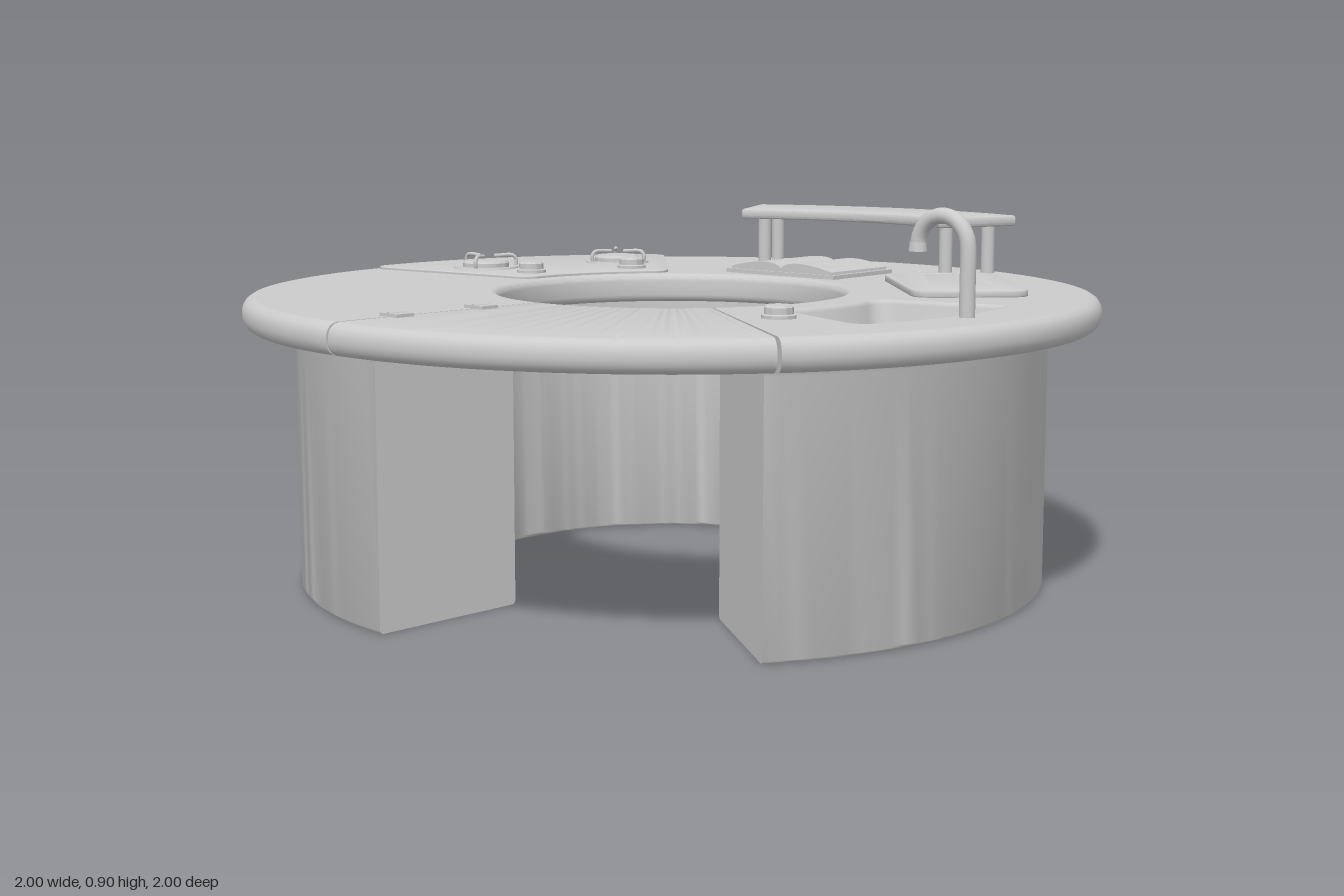
import * as THREE from 'three';
import { toCreasedNormals } from 'three/addons/utils/BufferGeometryUtils.js';

const D = Math.PI / 180;
const TOP = 0.675; // worktop height
const mat = new THREE.MeshStandardMaterial({ color: 0xcccccc });
const thin = new THREE.MeshStandardMaterial({ color: 0xcccccc, side: THREE.DoubleSide });
const polar = (r, t, y = 0) => new THREE.Vector3(r * Math.cos(t * D), y, -r * Math.sin(t * D));
const vec2 = (list) => list.map(([x, y]) => new THREE.Vector2(x, y));

function add(parent, name, geometry, material = mat) {
  const mesh = new THREE.Mesh(geometry, material);
  mesh.name = name;
  parent.add(mesh);
  return mesh;
}

// Ring sector in plan with rounded corners (angles in degrees)
function sector(r0, r1, t0, t1, c) {
  const s = new THREE.Shape();
  const a = t0 * D, b = t1 * D, o = c / r1, i = c / r0;
  const to = (r, t) => [r * Math.cos(t), r * Math.sin(t)];
  s.moveTo(...to(r1, a + o));
  s.absarc(0, 0, r1, a + o, b - o, false);
  s.quadraticCurveTo(...to(r1, b), ...to(r1 - c, b));
  s.lineTo(...to(r0 + c, b));
  s.quadraticCurveTo(...to(r0, b), ...to(r0, b - i));
  s.absarc(0, 0, r0, b - i, a + i, true);
  s.quadraticCurveTo(...to(r0, a), ...to(r0 + c, a));
  s.lineTo(...to(r1 - c, a));
  s.quadraticCurveTo(...to(r1, a), ...to(r1, a + o));
  return s;
}

// Flat plan shape raised into a slab with softened edges
function slab(shape, y, height, bevel) {
  const g = new THREE.ExtrudeGeometry(shape, {
    depth: height - 2 * bevel, bevelThickness: bevel, bevelSize: bevel,
    bevelOffset: -bevel, bevelSegments: 3, curveSegments: 40,
  });
  return toCreasedNormals(g.rotateX(-Math.PI / 2).translate(0, y + bevel, 0), 0.6);
}

// Profile swept round the y axis between two angles
function sweep(points, t0, t1) {
  const g = new THREE.LatheGeometry(vec2(points), 128, (t0 + 90) * D, (t1 - t0) * D);
  return toCreasedNormals(g, 0.6);
}

// Flat closing face of a swept profile
const endFace = (points, t) => new THREE.ShapeGeometry(new THREE.Shape(vec2(points))).rotateY(t * D);

// Quarter-round corner points
function corner(cx, cy, r, from) {
  return [0, 22.5, 45, 67.5, 90].map((d) => [cx + r * Math.cos((from + d) * D), cy + r * Math.sin((from + d) * D)]);
}

function flatTop(shape, y) {
  return new THREE.ShapeGeometry(shape, 64).rotateX(-Math.PI / 2).translate(0, y, 0);
}

const innerRim = [...corner(0.428, TOP - 0.018, 0.018, 90), ...corner(0.428, 0.622, 0.018, 180)];
const outerRim = [...corner(0.97, 0.634, 0.03, 270), ...corner(0.97, TOP - 0.03, 0.03, 0)];
const SINK = (inset) => sector(0.51 + inset, 0.835 - inset, -108.5 + inset * 70, -71.5 - inset * 70, 0.05);

function addBase(group) {
  const profile = [[0.5, 0.605], ...corner(0.51, 0.01, 0.01, 180), ...corner(0.87, 0.01, 0.01, 270),
    [0.88, 0.585], [0.885, 0.597], [0.9, 0.605]];
  add(group, 'base', sweep(profile, -123.4, 180), thin);
  for (const t of [-123.4, 180]) add(group, 'baseEnd', endFace(profile, t), thin);
}

function addWorktop(group) {
  const t0 = -123.15, t1 = 179.8;
  const top = sector(0.428, 0.97, t0, t1, 0);
  top.holes.push(new THREE.Path(SINK(0).getPoints(24)));
  add(group, 'worktop', flatTop(top, TOP));
  add(group, 'worktopInnerRim', sweep([...innerRim, [0.51, 0.604]], t0, t1));
  add(group, 'worktopOuterRim', sweep([[0.87, 0.604], ...outerRim], t0, t1));
  const flap = [...innerRim, ...outerRim];
  for (const t of [t0, t1]) add(group, 'worktopEnd', endFace(flap, t), thin);

  // Lifting flap over the entrance
  add(group, 'flap', sweep([...flap, flap[0]], 180.2, 236.35));
  for (const t of [180.2, 236.35]) add(group, 'flapEnd', endFace(flap, t), thin);
  for (const x of [-0.82, -0.59]) {
    add(group, 'hinge', new THREE.BoxGeometry(0.045, 0.01, 0.06).translate(x, TOP + 0.002, 0));
    add(group, 'hingePin', new THREE.CylinderGeometry(0.006, 0.006, 0.045, 12).rotateZ(Math.PI / 2).translate(x, TOP + 0.005, 0));
  }
}

function addSink(group) {
  // Basin lofted from the rim down to the floor
  const steps = [[0, TOP], [0.004, TOP - 0.002], [0.008, TOP - 0.01], [0.016, 0.585], [0.022, 0.573], [0.036, 0.567]];
  const rings = steps.map(([inset, y]) => SINK(inset).getPoints(24).map((p) => [p.x, y, -p.y]));
  const n = rings[0].length, index = [];
  for (let k = 0; k < rings.length - 1; k++) {
    for (let i = 0; i < n - 1; i++) {
      const a = k * n + i, b = a + 1, c = a + n, d = c + 1;
      index.push(a, b, c, b, d, c);
    }
  }
  const g = new THREE.BufferGeometry();
  g.setAttribute('position', new THREE.Float32BufferAttribute(rings.flat(2), 3));
  g.setIndex(index);
  add(group, 'sinkWall', toCreasedNormals(g, 0.8), thin);
  add(group, 'sinkFloor', flatTop(SINK(0.036), 0.567));
  add(group, 'drain', new THREE.CylinderGeometry(0.035, 0.037, 0.006, 32).translate(0, 0.569, 0.667));

  // Swan-neck tap
  const path = [new THREE.Vector3(0, 0.66, 0.865), new THREE.Vector3(0, 0.74, 0.865)];
  for (let d = 0; d <= 180; d += 20) {
    path.push(new THREE.Vector3(0, 0.818 + 0.066 * Math.sin(d * D), 0.799 + 0.066 * Math.cos(d * D)));
  }
  add(group, 'tap', new THREE.TubeGeometry(new THREE.CatmullRomCurve3(path), 48, 0.017, 16));
  add(group, 'tapNozzle', new THREE.CylinderGeometry(0.018, 0.02, 0.02, 16).translate(0, 0.816, 0.733));
}

function addKnob(group, name, x, y, z) {
  const profile = [[0.037, 0], [0.037, 0.008], [0.031, 0.01], [0.031, 0.024], [0.026, 0.029], [0, 0.03]];
  add(group, name, toCreasedNormals(new THREE.LatheGeometry(vec2(profile), 32), 0.6)).position.set(x, y, z);
}

function addBurner(group, x, z, turn) {
  const burner = new THREE.Group();
  burner.name = 'burner';
  burner.position.set(x, 0.682, z);
  const profile = [[0.085, 0], [0.083, 0.005], [0.068, 0.005], [0.06, 0.003], [0.06, 0.014], [0.054, 0.02], [0, 0.021]];
  add(burner, 'burnerCap', toCreasedNormals(new THREE.LatheGeometry(vec2(profile), 40), 0.6));
  for (let k = 0; k < 3; k++) {
    const path = [[0.077, 0], [0.08, 0.02], [0.072, 0.031], [0.02, 0.031]].map(([r, y]) => polar(r, turn + k * 120, y));
    add(burner, 'panSupport', new THREE.TubeGeometry(new THREE.CatmullRomCurve3(path), 16, 0.005, 8));
  }
  group.add(burner);
}

function addHob(group) {
  add(group, 'hobPlate', slab(sector(0.44, 0.97, 46, 99, 0.05), TOP - 0.003, 0.01, 0.003));
  addBurner(group, 0.027, -0.71, 90);
  addBurner(group, 0.39, -0.594, 50);
  addKnob(group, 'hobKnob', 0.02, 0.681, -0.524);
  addKnob(group, 'hobKnob', 0.294, 0.681, -0.44);
}

function addShelf(group) {
  add(group, 'shelf', slab(sector(0.75, 0.98, -19.5, 30.2, 0.006), 0.797, 0.027, 0.008));
  for (const t of [-16.5, 26.2]) {
    for (const r of [0.795, 0.928]) {
      const leg = add(group, 'shelfLeg', new THREE.CylinderGeometry(0.017, 0.017, 0.14, 20));
      leg.position.copy(polar(r, t, 0.735));
    }
  }
}

function addBook(group) {
  const book = new THREE.Group();
  book.name = 'openBook';
  book.position.set(0.57, TOP, -0.067);
  book.rotation.y = 0.065;
  add(book, 'bookCover', new THREE.BoxGeometry(0.25, 0.01, 0.345).translate(0, 0.005, 0));
  // Pages bulge either side of the fold
  const page = new THREE.Shape();
  page.moveTo(0, 0.008);
  page.lineTo(0.162, 0.008);
  page.lineTo(0.16, 0.017);
  page.bezierCurveTo(0.11, 0.03, 0.02, 0.045, 0, 0.018);
  const g = new THREE.ExtrudeGeometry(page, { depth: 0.235, bevelEnabled: false, curveSegments: 16 });
  g.translate(0, 0, -0.1175).rotateY(Math.PI / 2);
  for (const turn of [0, Math.PI]) add(book, 'pages', toCreasedNormals(g, 0.6)).rotation.y = turn;
  group.add(book);
}

function addBoard(group) {
  const w = 0.235, h = 0.136, c = 0.055;
  const s = new THREE.Shape();
  s.moveTo(-w + c, -h);
  s.lineTo(w - c, -h).quadraticCurveTo(w, -h, w, -h + c);
  s.lineTo(w, h - c).quadraticCurveTo(w, h, w - c, h);
  s.lineTo(-w + c, h).quadraticCurveTo(-w, h, -w, h - c);
  s.lineTo(-w, -h + c).quadraticCurveTo(-w, -h, -w + c, -h);
  // Grip slot near one end
  s.holes.push(new THREE.Path(vec2([[0.175, -0.036], [0.175, 0.036], [0.215, 0.036], [0.215, -0.036]])));
  const board = add(group, 'choppingBoard', slab(s, TOP - 0.002, 0.018, 0.004));
  board.position.set(0.5, 0, 0.452);
  board.rotation.y = 48 * D;
}

export function createModel() {
  const group = new THREE.Group();
  group.name = 'roundKitchenIsland';
  addBase(group);
  addWorktop(group);
  addSink(group);
  addKnob(group, 'sinkKnob', -0.283, TOP - 0.001, 0.593);
  addHob(group);
  addShelf(group);
  addBook(group);
  addBoard(group);
  return group;
}
